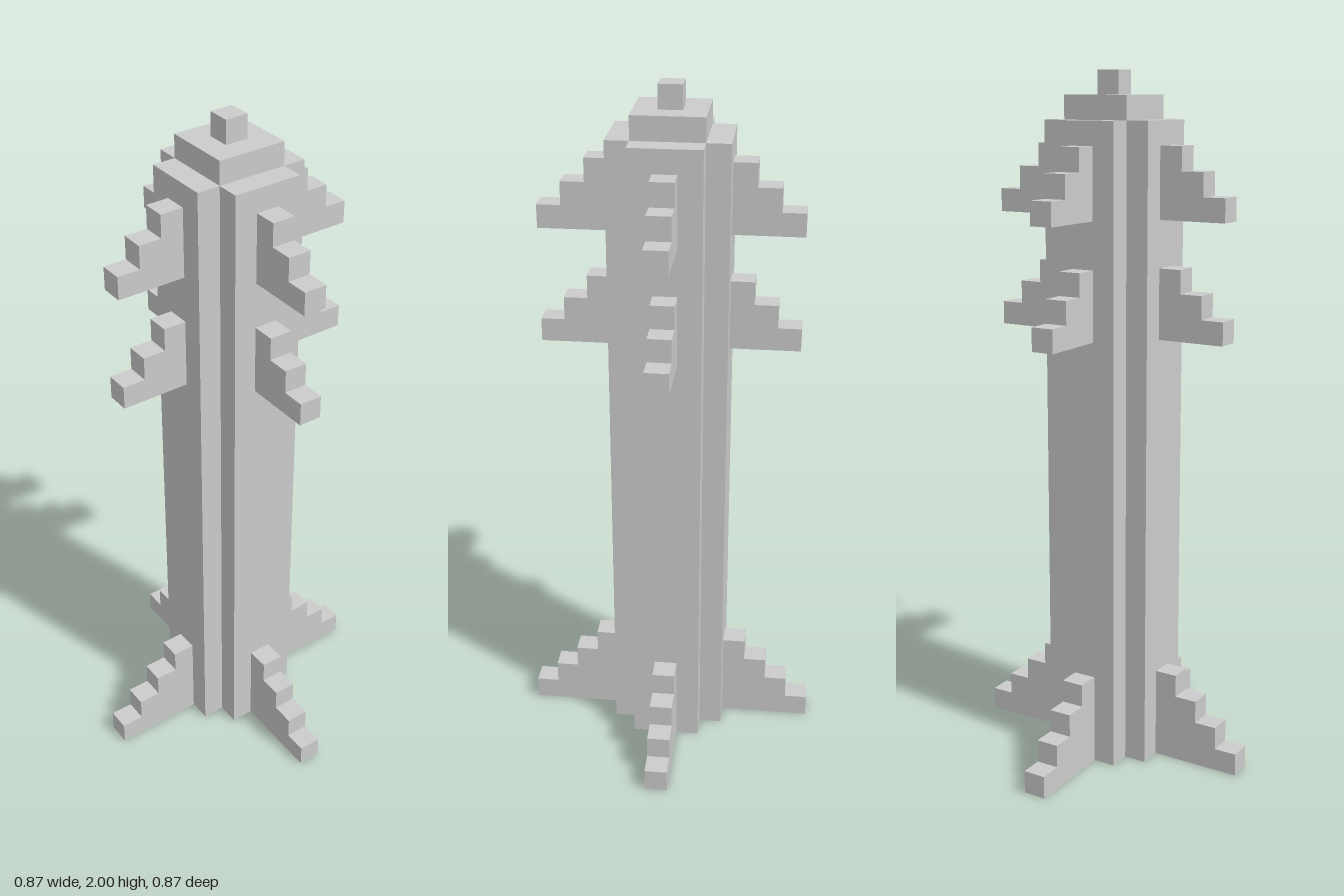
import * as THREE from 'three';

const U = 1 / 15; // one block
const material = new THREE.MeshStandardMaterial({ color: 0xcccccc, flatShading: true });

function addMesh(parent, name, geometry, y = 0) {
  const mesh = new THREE.Mesh(geometry, material);
  mesh.name = name;
  mesh.position.y = y * U;
  parent.add(mesh);
  return mesh;
}

function shapeOf(points) {
  return new THREE.Shape(points.map(([x, y]) => new THREE.Vector2(x * U, y * U)));
}

// Square column with its corners notched by one block, optionally with a central hole
function columnGeometry(height, withHole) {
  const quarter = [[2.5, -1.5], [2.5, 1.5], [1.5, 1.5]];
  const points = [];
  for (let i = 0; i < 4; i++) {
    const c = [1, 0, -1, 0][i], s = [0, 1, 0, -1][i];
    for (const [x, y] of quarter) points.push([x * c - y * s, x * s + y * c]);
  }
  const shape = shapeOf(points);
  if (withHole) shape.holes.push(shapeOf([[-0.5, -0.5], [-0.5, 0.5], [0.5, 0.5], [0.5, -0.5]]));
  return new THREE.ExtrudeGeometry(shape, { depth: height * U, bevelEnabled: false }).rotateX(-Math.PI / 2);
}

// Stepped fin, one block thick, each step one block shorter than the one below
function finGeometry(steps) {
  const points = [[2.5, 0]];
  for (let i = 0; i < steps; i++) {
    const reach = 2.5 + steps - i;
    points.push([reach, i], [reach, i + 1]);
  }
  points.push([2.5, steps]);
  return new THREE.ExtrudeGeometry(shapeOf(points), { depth: U, bevelEnabled: false })
    .translate(0, 0, -U / 2);
}

// Four fins around the column
function addFins(parent, name, steps, y) {
  const ring = new THREE.Group();
  ring.name = name;
  const geometry = finGeometry(steps);
  for (let i = 0; i < 4; i++) addMesh(ring, 'fin', geometry, y).rotation.y = i * Math.PI / 2;
  parent.add(ring);
}

export function createModel() {
  const model = new THREE.Group();
  model.name = 'finnedTower';

  // Column with a recess underneath
  addMesh(model, 'columnFoot', columnGeometry(1, true));
  addMesh(model, 'column', columnGeometry(27, false), 1);

  // Stepped top
  addMesh(model, 'cap', new THREE.BoxGeometry(3 * U, U, 3 * U), 28.5);
  addMesh(model, 'tip', new THREE.BoxGeometry(U, U, U), 29.5);

  // Fin rings
  addFins(model, 'baseFins', 4, 0);
  addFins(model, 'middleFins', 3, 19);
  addFins(model, 'upperFins', 3, 24);

  return model;
}
